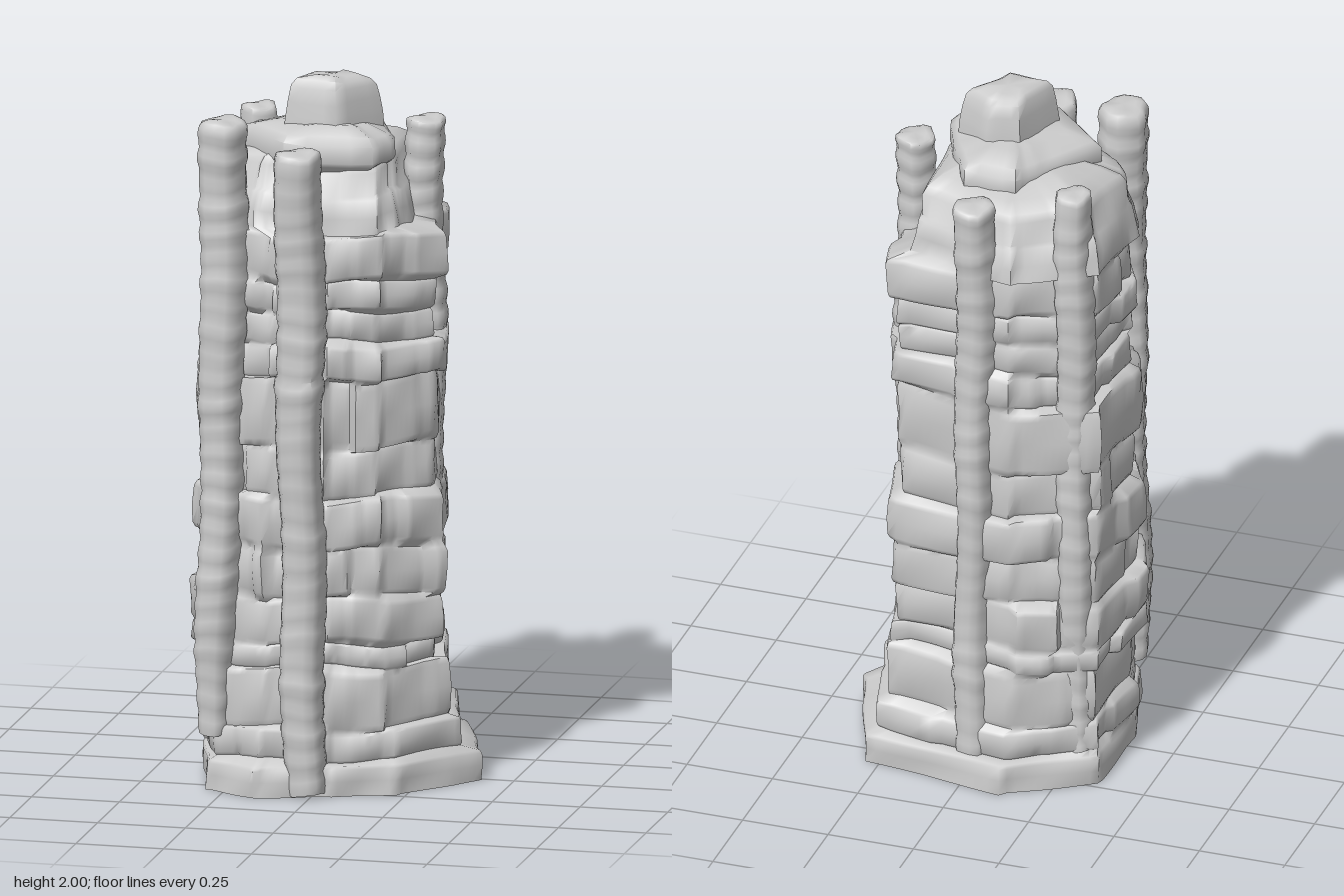
import * as THREE from 'three';
import { toCreasedNormals } from 'three/addons/utils/BufferGeometryUtils.js';

const material = new THREE.MeshStandardMaterial({ color: 0xcccccc });
const lerp = THREE.MathUtils.lerp;

// repeatable pseudo-random value in 0..1
const hash = (a, b = 0, c = 0) => {
  const s = Math.sin(a * 127.1 + b * 311.7 + c * 74.7 + 3.3) * 43758.5453;
  return s - Math.floor(s);
};

// closed skin through equal-length rings of [x, y, z], listed bottom to top
function loft(name, rings) {
  const n = rings[0].length, pos = rings.flat(2), index = [];
  for (let j = 0; j < rings.length - 1; j++) {
    for (let i = 0; i < n; i++) {
      const a = j * n + i, b = j * n + (i + 1) % n;
      index.push(a, a + n, b, b, a + n, b + n);
    }
  }
  const end = (ring, start, up) => {
    const c = pos.length / 3;
    for (let k = 0; k < 3; k++) pos.push(ring.reduce((s, p) => s + p[k], 0) / n);
    for (let i = 0; i < n; i++) {
      const a = start + i, b = start + (i + 1) % n;
      index.push(c, up ? b : a, up ? a : b);
    }
  };
  end(rings[0], 0, false);
  end(rings.at(-1), (rings.length - 1) * n, true);
  const g = new THREE.BufferGeometry();
  g.setAttribute('position', new THREE.Float32BufferAttribute(pos, 3));
  g.setIndex(index);
  const mesh = new THREE.Mesh(toCreasedNormals(g, 1.05), material);
  mesh.name = name;
  return mesh;
}

// plan outlines [x, z] of the foot, the wall and the shoulder
const foot = [[.41, .01], [.22, .24], [.04, .31], [-.15, .37], [-.3, .3], [-.37, .06], [-.36, -.23], [-.12, -.38], [.29, -.32]];
const wall = [[.295, .07], [.16, .2], [.02, .25], [-.14, .27], [-.29, .22], [-.37, .05], [-.345, -.21], [-.12, -.3], [.225, -.25]];
const shoulder = [[.19, .1], [.15, .19], [-.08, .22], [-.18, .2], [-.3, .14], [-.35, .05], [-.32, -.18], [-.12, -.28], [.16, -.22]];
const mix = (a, b, t) => a.map((p, i) => [lerp(p[0], b[i][0], t), lerp(p[1], b[i][1], t)]);

// courses of stone: [bottom, blend foot to wall, outset on the left, outset on the right]
const courses = [
  [0, 0, 0, 0], [.09, .5, 0, 0], [.18, .65, 0, -.005], [.35, .95, -.005, .02], [.42, 1, .015, .025],
  [.55, 1, .018, 0], [.69, 1, .02, .018], [.83, 1, -.008, -.005], [.97, 1, -.006, .014],
  [1.17, 1, .025, -.02], [1.27, 1, -.004, -.022], [1.36, 1, .008, -.012], [1.45, 1, .02, -.01], [1.58]
];

// one ring of the wall, its blocks pushed in or out
function courseRing(outline, y, course, [left, right], rough) {
  const ring = [], steps = 12;
  outline.forEach((p, e) => {
    const q = outline[(e + 1) % outline.length];
    const joint = 3 + Math.floor(hash(e, course, 2) * 6);
    for (let s = 0; s < steps; s++) {
      const block = s < joint ? 0 : 1, t = s / steps;
      const x = lerp(p[0], q[0], t), z = lerp(p[1], q[1], t);
      const push = lerp(right, left, THREE.MathUtils.smoothstep(x, -.3, .2))
        + rough * (hash(e, course, block) - .5) + .004 * Math.sin(y * 31 + e * 2 + t * 5);
      const k = 1 + push / Math.hypot(x, z);
      const sag = course > 0 ? .01 * Math.sin(e * 2.3 + t * 2 + course) : 0;
      ring.push([x * k, y + sag, z * k]);
    }
  });
  return ring;
}

function buildWall() {
  const rings = [];
  for (let c = 0; c < courses.length - 1; c++) {
    const [y0, blend, left, right] = courses[c], y1 = courses[c + 1][0];
    const outline = mix(foot, wall, blend);
    const rough = c === 0 ? .004 : c < 3 ? .022 : .034;
    for (const t of [0, .1, .5, .9, 1]) {
      const edge = t === 1 || (t === 0 && c > 0) ? -.006 : 0;
      const y = lerp(y0 + (c ? .005 : 0), y1 - .005, t);
      rings.push(courseRing(outline, y, c, [left + edge, right + edge], rough));
    }
  }
  // shoulder set back on a ledge, closing in under the cap
  [[1.585, .75, .01, .03], [1.63, .88, .01, .024], [1.68, .95, .006, .012], [1.69, 1, -.004, .006], [1.755, 1, -.008, -.004],
    [1.775, 1, -.025, -.02], [1.795, 1, -.07, -.07], [1.81, 1, -.14, -.14]]
    .forEach(([y, t, l, r]) => rings.push(courseRing(mix(wall, shoulder, t), y, 20, [l, r], .012)));
  return loft('stoneWall', rings);
}

// faceted slab from one outline and rows of [y, scale]
function slab(name, outline, [cx, cz], rows) {
  const steps = 4;
  return loft(name, rows.map(([y, k], j) => outline.flatMap((p, e) => {
    const q = outline[(e + 1) % outline.length];
    return Array.from({ length: steps }, (_, s) => {
      const t = s / steps, w = k * (1 + .03 * (hash(e, s, 9) - .5));
      return [cx + (lerp(p[0], q[0], t) - cx) * w, y + .006 * Math.sin(e * 1.7 + j), cz + (lerp(p[1], q[1], t) - cz) * w];
    });
  })));
}

// rough knobbly column along keys [x, y, z, radius], bottom to top
function pillar(name, keys, seed) {
  const rings = [], n = 15, rows = 90;
  const y0 = keys[0][1], y1 = keys.at(-1)[1];
  for (let j = 0; j <= rows + 3; j++) {
    const y = j > rows ? y1 + (j - rows - 1) * .004 : lerp(y0, y1 - .015, j / rows);
    let k = 0;
    while (k < keys.length - 2 && y > keys[k + 1][1]) k++;
    const a = keys[k], b = keys[k + 1];
    const t = Math.min(1, (y - a[1]) / (b[1] - a[1]));
    const band = Math.floor(y / .07), bulge = Math.sin((y / .07 - band) * Math.PI);
    const close = j > rows ? [.94, .82, .55][j - rows - 1] : 1;
    const r = lerp(a[3], b[3], t) * close * (.95 + bulge * (.04 + .1 * hash(band, seed)));
    const cx = lerp(a[0], b[0], t) + .005 * Math.sin(y * 9 + seed);
    const cz = lerp(a[2], b[2], t) + .005 * Math.cos(y * 8 + seed * 2);
    rings.push(Array.from({ length: n }, (_, i) => {
      const u = i / n * Math.PI * 2;
      const w = r * (1 + .07 * Math.cos(5 * u + seed) + .04 * Math.sin(2 * u + y * 6));
      return [cx + Math.cos(u) * w, y + .005 * Math.sin(u * 2 + y * 12), cz + Math.sin(u) * w];
    }));
  }
  return loft(name, rings);
}

export function createModel() {
  const tower = new THREE.Group();
  tower.name = 'stoneTower';
  tower.add(buildWall());

  // stepped cap and the boulder on its peak
  const cap = [[.19, .1], [.15, .2], [-.1, .235], [-.26, .08], [-.15, -.09], [-.1, -.18], [.05, -.18], [.13, -.05]];
  tower.add(slab('cap', cap, [-.02, .05],
    [[1.7, .78], [1.755, .88], [1.77, .97], [1.785, 1], [1.83, .99], [1.85, .9], [1.868, .6]]));
  const peak = [[.13, .01], [.03, .15], [-.12, .13], [-.06, -.03], [.03, -.05]];
  tower.add(slab('peakStone', peak, [0, .06],
    [[1.83, 1.04], [1.87, 1.02], [1.89, 1], [1.93, .95], [1.97, .88], [1.988, .76], [1.996, .5]]));

  // columns standing against the wall
  tower.add(
    pillar('frontRightPillar', [[-.3, .15, .25, .04], [-.285, .5, .24, .058], [-.275, 1, .235, .062], [-.27, 1.885, .23, .068]], 1),
    pillar('frontPillar', [[-.02, .01, .31, .055], [-.03, .6, .305, .062], [-.035, 1, .305, .064], [-.04, 1.825, .305, .068]], 2),
    pillar('leftPillar', [[.245, .63, -.07, .03], [.24, .85, -.07, .045], [.235, 1.3, -.065, .05], [.23, 1.855, -.06, .053]], 3),
    pillar('backPillar', [[-.01, .08, -.285, .05], [-.015, 1, -.285, .052], [-.02, 1.795, -.285, .057]], 4),
    pillar('backRightPillar', [[-.285, .1, -.2, .052], [-.28, 1, -.2, .053], [-.277, 1.83, -.2, .053]], 5)
  );
  return tower;
}
